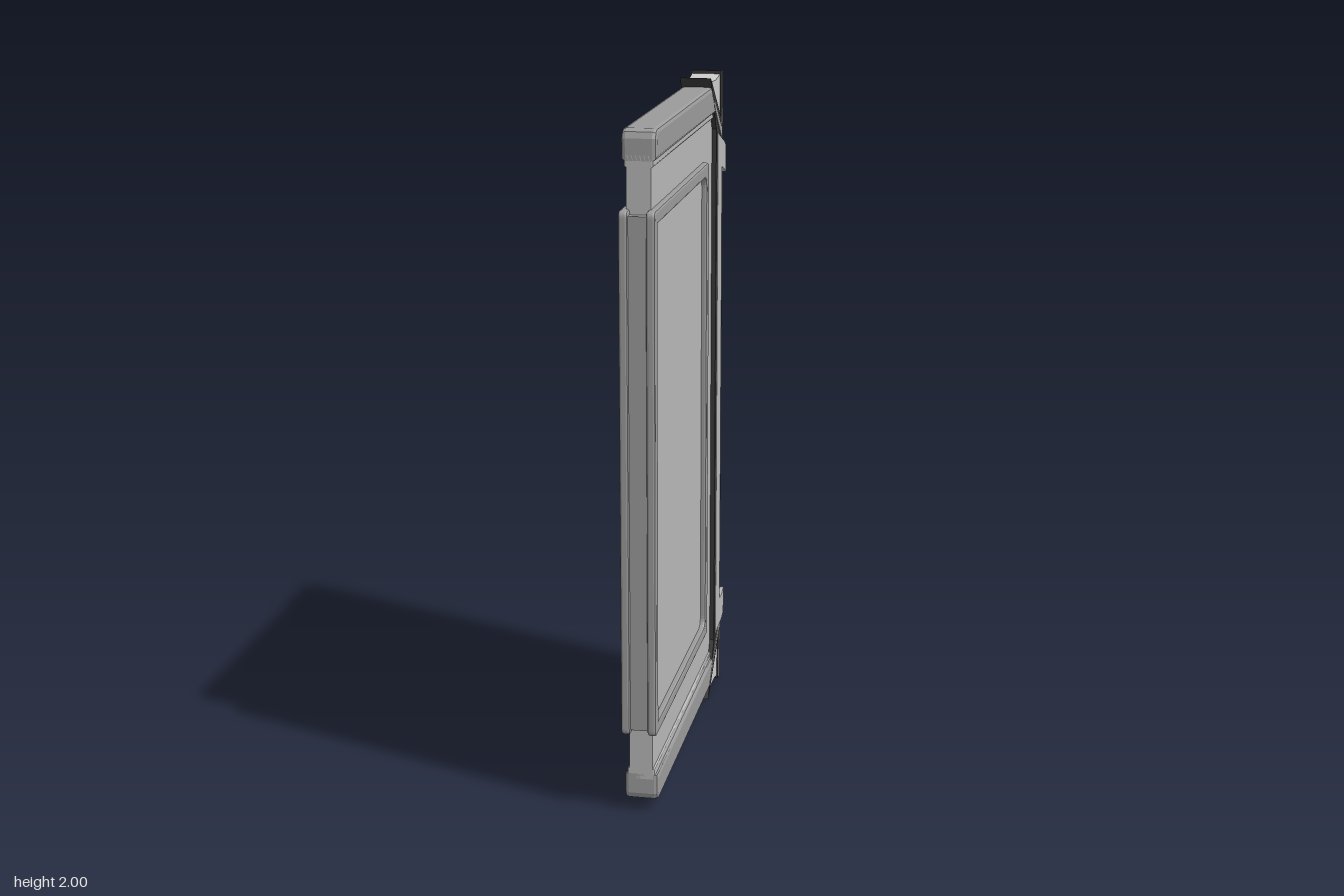
import * as THREE from 'three';

const mat = (color) => new THREE.MeshStandardMaterial({ color, flatShading: true });
const light = mat(0xcccccc), body = mat(0xb8b8b8), trim = mat(0x9b9b9b), dark = mat(0x383838);

// Adds a named mesh to a group
function add(group, name, geometry, material) {
  const mesh = new THREE.Mesh(geometry, material);
  mesh.name = name;
  group.add(mesh);
}

// Mirrors a [z, y] outline about mid height
const flip = (pts) => pts.map(([z, y]) => [z, 2 - y]);
const outline = (pts) => new THREE.Shape(pts.map(([a, b]) => new THREE.Vector2(a, b)));

// Slab with a z-y outline, spanning x0..x1, with an optional bevel
function slab(shape, x0, x1, bevel = 0) {
  const g = new THREE.ExtrudeGeometry(shape, {
    depth: x1 - x0 - 2 * bevel, bevelEnabled: bevel > 0, bevelThickness: bevel,
    bevelSize: bevel, bevelOffset: -bevel, bevelSegments: 2, curveSegments: 6,
  });
  g.rotateY(-Math.PI / 2);
  g.translate(x1 - bevel, 0, 0);
  return g;
}

// Upright bar with an x-z section, whose ends follow y = low(z) and y = high(z)
function upright(section, low, high) {
  const g = new THREE.ExtrudeGeometry(outline(section.map(([x, z]) => [x, -z])), { depth: 1, bevelEnabled: false });
  g.rotateX(-Math.PI / 2);
  const p = g.attributes.position;
  for (let i = 0; i < p.count; i++) {
    const z = p.getZ(i), t = p.getY(i);
    p.setY(i, low(z) + t * (high(z) - low(z)));
  }
  g.computeVertexNormals();
  return g;
}

// Rectangle in z-y with separate front and back corner radii
function roundRect(Type, z0, z1, y0, y1, rBack, rFront) {
  const s = new Type();
  s.moveTo(z0 + rBack, y0);
  s.lineTo(z1 - rFront, y0);
  s.quadraticCurveTo(z1, y0, z1, y0 + rFront);
  s.lineTo(z1, y1 - rFront);
  s.quadraticCurveTo(z1, y1, z1 - rFront, y1);
  s.lineTo(z0 + rBack, y1);
  s.quadraticCurveTo(z0, y1, z0, y1 - rBack);
  s.lineTo(z0, y0 + rBack);
  s.quadraticCurveTo(z0, y0, z0 + rBack, y0);
  return s;
}

export function createModel() {
  const model = new THREE.Group();
  model.name = 'framedPanel';

  // Main panel
  const top = [[0.51, 1.9], [-0.42, 1.9], [-0.54, 1.78]];
  add(model, 'mainPanel', slab(outline([...top, ...flip(top).reverse()]), -0.034, 0.034), body);

  // Raised window frame on each face, joined by a web along the front edge
  for (const side of [1, -1]) {
    const frame = roundRect(THREE.Shape, -0.305, 0.545, 0.245, 1.755, 0.02, 0.02);
    frame.holes.push(roundRect(THREE.Path, -0.27, 0.505, 0.28, 1.715, 0.035, 0.004));
    const [x0, x1] = side > 0 ? [0.025, 0.051] : [-0.051, -0.025];
    add(model, side > 0 ? 'leftWindowFrame' : 'rightWindowFrame', slab(frame, x0, x1, 0.007), trim);
  }
  const web = new THREE.BoxGeometry(0.064, 1.48, 0.03);
  web.translate(0, 1, 0.52);
  add(model, 'frontWeb', web, trim);

  // Flared spine: dark seam, slotted middle and solid ends
  const high = (z) => 1.83 + 0.6 * (z + 0.45);
  const slot = (z) => 1.71 + 0.55 * (z + 0.505);
  const down = (f) => (z) => 2 - f(z);
  const symmetric = (half) => [...half, ...half.map(([x, z]) => [-x, z]).reverse()];
  add(model, 'spineSeam', upright(symmetric([[0.048, -0.445], [0.048, -0.466]]), down(high), high), dark);
  add(model, 'spineMiddle', upright(symmetric(
    [[0.05, -0.465], [0.052, -0.485], [0.056, -0.505], [0.047, -0.529], [0.05, -0.549]]), down(slot), slot), body);
  const flare = symmetric([[0.05, -0.465], [0.052, -0.485], [0.056, -0.505], [0.06, -0.525], [0.061, -0.55]]);
  add(model, 'upperSpineEnd', upright(flare, slot, high), body);
  add(model, 'lowerSpineEnd', upright(flare, down(high), down(slot)), body);
  for (const s of [1, -1]) {
    const wall = [[0.0565, -0.505], [0.048, -0.529], [0.044, -0.529], [0.05, -0.505]].map(([x, z]) => [s * x, z]);
    add(model, s > 0 ? 'leftSlotTrim' : 'rightSlotTrim', upright(wall, down(slot), slot), dark);
  }
  const strip = new THREE.BoxGeometry(0.1, 1.996, 0.011);
  strip.translate(0, 1, -0.5445);
  add(model, 'backStrip', strip, trim);

  // Rails and corner brackets, built for the top and mirrored to the bottom
  const parts = [
    ['RailLedge', [[0.51, 1.868], [0.51, 1.9], [-0.42, 1.9], [-0.45, 1.868]], 0.041, body, 0.006],
    ['Rail', [[0.51, 1.885], [0.51, 1.945], [0.502, 1.962], [0.485, 1.97], [-0.37, 1.97], [-0.435, 1.885]], 0.049, trim, 0.012],
    ['BracketBar', [[-0.345, 2], [-0.37, 1.985], [-0.545, 1.85], [-0.545, 1.82], [-0.385, 1.945]], 0.047, dark, 0],
    ['BracketMiddleBar', [[-0.385, 1.945], [-0.545, 1.82], [-0.545, 1.785], [-0.405, 1.905]], 0.05, trim, 0],
    ['BracketLowerBar', [[-0.4, 1.908], [-0.546, 1.787], [-0.546, 1.752], [-0.445, 1.835]], 0.048, dark, 0],
    ['BracketFill', [[-0.362, 1.99], [-0.4, 1.984], [-0.45, 1.981], [-0.5, 1.984], [-0.54, 1.992], [-0.54, 1.84]], 0.043, light, 0],
    ['BracketBackTrim', [[-0.532, 2], [-0.549, 2], [-0.549, 1.993], [-0.54, 1.985], [-0.54, 1.85], [-0.536, 1.85]], 0.047, dark, 0],
  ];
  for (const [name, pts, half, material, bevel] of parts) {
    add(model, 'upper' + name, slab(outline(pts), -half, half, bevel), material);
    add(model, 'lower' + name, slab(outline(flip(pts)), -half, half, bevel), material);
  }
  return model;
}
